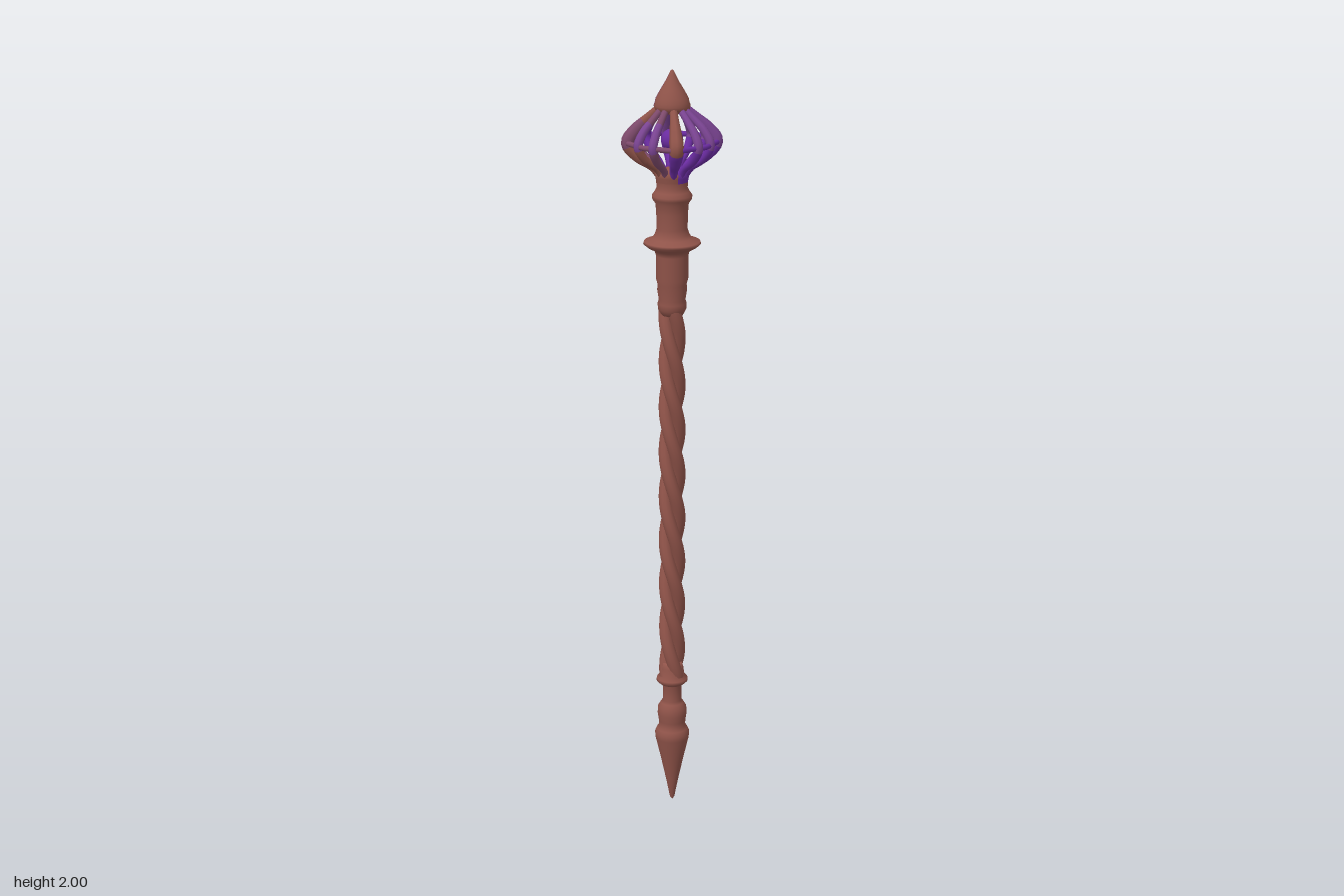
import * as THREE from 'three';

const mat = (name, color) => {
  const m = new THREE.MeshStandardMaterial({ color });
  m.name = name;
  return m;
};

export function createModel() {
  const wood = mat('redwood', 0x8f5349);
  const vivid = mat('vividPurple', 0x6a2ca0);
  const soft = mat('softPurple', 0x7c4594);
  const mauve = mat('mauve', 0x7e4a6c);
  const group = new THREE.Group();

  const add = (name, geo, material) => {
    const mesh = new THREE.Mesh(geo, material);
    mesh.name = name;
    group.add(mesh);
    return mesh;
  };

  // Turned parts: profile of [radius, height] pairs from bottom to top, over an arc in degrees
  const turned = (name, profile, material = wood, from = 0, to = 360) =>
    add(name, new THREE.LatheGeometry(profile.map(([r, y]) => new THREE.Vector2(r, y)),
      Math.ceil((to - from) / 10), THREE.MathUtils.degToRad(from), THREE.MathUtils.degToRad(to - from)), material);

  turned('spikeFoot', [
    [0, 0], [0.006, 0.008], [0.016, 0.06], [0.031, 0.13], [0.045, 0.19], [0.046, 0.205],
    [0.041, 0.217], [0.035, 0.225], [0.036, 0.24], [0.039, 0.26], [0.038, 0.28],
    [0.03, 0.293], [0.025, 0.3], [0.025, 0.345], [0.034, 0.35], [0.042, 0.358],
    [0.041, 0.365], [0.033, 0.373], [0.03, 0.395], [0.026, 0.41], [0, 0.41],
  ]);

  turned('upperCollar', [
    [0, 1.37], [0.028, 1.375], [0.036, 1.39], [0.037, 1.405], [0.034, 1.415], [0.038, 1.44],
    [0.037, 1.455], [0.041, 1.47], [0.041, 1.53], [0.045, 1.543], [0.062, 1.552], [0.073, 1.561],
    [0.071, 1.567], [0.05, 1.575], [0.044, 1.585], [0.039, 1.6], [0.04, 1.64], [0.042, 1.665],
    [0.05, 1.676], [0.051, 1.685], [0.044, 1.695], [0.039, 1.705], [0.04, 1.72],
  ]);

  // Cup under the cage, tinted towards the back
  const cup = [[0.04, 1.72], [0.042, 1.732], [0.044, 1.742], [0.038, 1.752], [0, 1.757]];
  turned('cageCupBack', cup, vivid, 60, 280);
  turned('cageCupFront', cup, wood, 280, 420);

  // Finial, with one tinted wedge
  const finial = [
    [0, 1.893], [0.036, 1.895], [0.044, 1.903], [0.046, 1.912], [0.043, 1.92], [0.041, 1.93],
    [0.03, 1.95], [0.019, 1.968], [0.009, 1.987], [0.004, 1.998], [0, 2],
  ];
  turned('finial', finial, wood, -40, 270);
  turned('finialWedge', finial, mauve, 270, 320);

  // Shaft of three twisted strands
  for (let s = 0; s < 3; s++) {
    const points = [];
    for (let i = 0; i <= 70; i++) {
      const t = i / 70, a = (s / 3) * Math.PI * 2 + t * Math.PI * 2 * 2.8;
      points.push(new THREE.Vector3(0.0175 * Math.cos(a), 0.37 + 1.03 * t, 0.0175 * Math.sin(a)));
    }
    add('twistedStrand' + (s + 1),
      new THREE.TubeGeometry(new THREE.CatmullRomCurve3(points), 160, 0.0175, 12), wood);
  }

  // Cage rib: a bowed tube, thickest at the middle, with lower, belly and top colour groups
  const ribGeometry = (belly, thin, thick) => {
    const curve = new THREE.CatmullRomCurve3([
      [0.032, 1.735], [0.048, 1.757], [0.085, 1.785], [belly, 1.82], [0.09, 1.853], [0.062, 1.88], [0.034, 1.905],
    ].map(([r, y]) => new THREE.Vector3(r, y, 0)));
    const segments = 28, sides = 8;
    const geo = new THREE.TubeGeometry(curve, segments, thin, sides);
    const pos = geo.attributes.position, v = new THREE.Vector3();
    for (let i = 0; i <= segments; i++) {
      const p = curve.getPointAt(i / segments);
      const k = 1 + (thick / thin - 1) * Math.sin(Math.PI * i / segments) ** 2;
      for (let j = 0; j <= sides; j++) {
        const n = i * (sides + 1) + j;
        v.fromBufferAttribute(pos, n).sub(p).multiplyScalar(k).add(p);
        pos.setXYZ(n, v.x, v.y, v.z);
      }
    }
    [[0, 13], [13, 22], [22, 28]].forEach(([a, b], i) => geo.addGroup(a * sides * 6, (b - a) * sides * 6, i));
    return geo;
  };
  const cornerRib = ribGeometry(0.11, 0.01, 0.018);
  const sideRib = ribGeometry(0.106, 0.0085, 0.0115);

  // Four thick corner ribs, with a pair of thin ribs on each side between them
  const ribColours = {
    45: [vivid, wood, wood], 77: [mauve, soft, mauve], 103: [wood, soft, mauve],
    135: [wood, mauve, wood], 167: [mauve, vivid, vivid], 193: [vivid, vivid, vivid],
  };
  for (let q = 0; q < 4; q++) {
    for (const [offset, geo, name] of [[-13, sideRib, 'sideRib'], [13, sideRib, 'sideRib'], [45, cornerRib, 'cornerRib']]) {
      const angle = q * 90 + offset;
      add(name, geo, ribColours[angle] ?? [vivid, soft, soft]).rotation.y = -THREE.MathUtils.degToRad(angle);
    }
  }

  // Thin rounded-square band tying the ribs together, softer in colour at the front
  const band = [];
  for (let i = 0; i < 48; i++) {
    const a = (i / 48) * Math.PI * 2;
    const r = 0.107 - 0.003 * Math.cos(4 * a) + 0.003 * Math.cos(8 * a);
    band.push(new THREE.Vector3(r * Math.cos(a), 1.82, r * Math.sin(a)));
  }
  const bandGeo = new THREE.TubeGeometry(new THREE.CatmullRomCurve3(band, true), 96, 0.007, 8, true);
  [[0, 12, 0], [12, 40, 1], [40, 96, 0]].forEach(([a, b, m]) => bandGeo.addGroup(a * 48, (b - a) * 48, m));
  add('cageBand', bandGeo, [vivid, mauve]);

  // Small core inside the cage
  const core = add('cageCore', new THREE.SphereGeometry(0.028, 20, 14), vivid);
  core.position.y = 1.825;

  return group;
}
